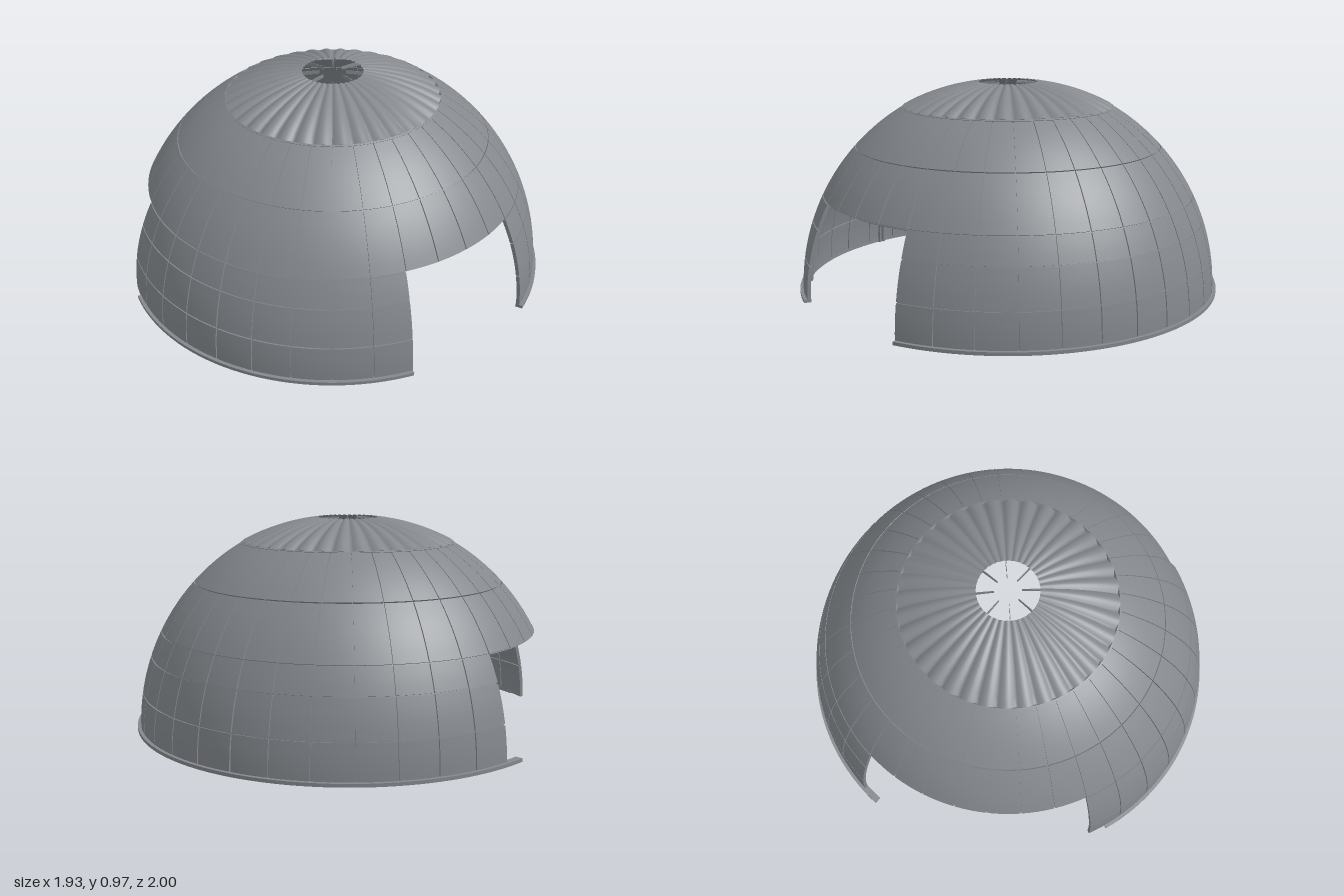
import * as THREE from 'three';
import { mergeGeometries } from 'three/addons/utils/BufferGeometryUtils.js';

const RAD = Math.PI / 180;
const OUTER = 0.985, INNER = 0.969, CORE = 0.977; // shell radii
const EAVE = 27.2, CAP = 60, HOLE = 81.8; // elevations in degrees

// Angles around the dome run from +z towards +x, in degrees.
const WALLS = [[60, 220], [290, 380]];
const FLANGES = [[60, 225], [295, 380]];

// Points of a meridian arc between two elevations
function arc(radius, from, to, steps) {
  return Array.from({ length: steps + 1 }, (_, i) => {
    const e = (from + (to - from) * i / steps) * RAD;
    return new THREE.Vector2(radius * Math.cos(e), radius * Math.sin(e));
  });
}

// Surface swept round the y axis from one angle to another
function sweep(points, a, b, stepDeg = 2.5) {
  const n = Math.max(1, Math.round((b - a) / stepDeg));
  return new THREE.LatheGeometry(points, n, a * RAD, (b - a) * RAD);
}

// Solid with hard edges: each side of a closed profile is swept, then the ends are capped
function solid(sides, a, b) {
  const parts = sides.map((side) => sweep(side, a, b));
  if (b - a < 360) {
    for (const angle of [a, b]) {
      parts.push(new THREE.ShapeGeometry(new THREE.Shape(sides.flatMap((s) => s.slice(0, -1))))
        .rotateY(angle * RAD - Math.PI / 2));
    }
  }
  return mergeGeometries(parts);
}

// Curved slab between two radii and two elevations
function slab(r0, r1, e0, e1, a, b) {
  const steps = Math.max(1, Math.ceil((e1 - e0) / 3));
  const out = arc(r1, e0, e1, steps);
  const inn = arc(r0, e1, e0, steps);
  return solid([out, [out[steps], inn[0]], inn, [inn[steps], out[0]]], a, b);
}

// A row of panels separated by narrow grooves
function panelRow(e0, e1, a, b) {
  const gap = 0.16;
  const panels = [];
  for (let p = a; p < b; p += 10) {
    panels.push(slab(INNER, OUTER, e0 + gap, e1 - gap,
      p === a && b - a < 360 ? p : p + gap,
      p + 10 === b && b - a < 360 ? b : p + 10 - gap));
  }
  return mergeGeometries(panels);
}

// Fluted cap: a spherical band whose vertices swell outwards between creases
function flutedCap() {
  const geo = sweep(arc(1, CAP, HOLE, 8), 0, 360, 1.25);
  const pos = geo.attributes.position;
  const v = new THREE.Vector3();
  for (let i = 0; i < pos.count; i++) {
    v.fromBufferAttribute(pos, i);
    const r = Math.hypot(v.x, v.z);
    const swell = Math.abs(Math.sin(18 * Math.atan2(v.x, v.z)));
    v.multiplyScalar(0.972 + 0.036 * r * swell);
    pos.setXYZ(i, v.x, v.y, v.z);
  }
  geo.computeVertexNormals();
  return geo;
}

export function createModel() {
  const metal = new THREE.MeshStandardMaterial({ color: 0x84888d, side: THREE.DoubleSide });
  metal.name = 'grey metal';

  const model = new THREE.Group();
  model.name = 'dome';
  const add = (name, geometry) => {
    const mesh = new THREE.Mesh(geometry, metal);
    mesh.name = name;
    model.add(mesh);
  };

  // Lower walls on both sides of the two openings
  WALLS.forEach(([a, b], i) => {
    add('wallCore' + (i + 1), sweep(arc(CORE, 0, EAVE, 10), a, b));
    [[0, 10], [10, 20], [20, EAVE]].forEach(([e0, e1]) =>
      add('wallPanels' + (i + 1), panelRow(e0, e1, a, b)));
  });

  // Base flange, running a little past the wall ends
  FLANGES.forEach(([a, b], i) => {
    const c = [[0.967, 0], [1, 0], [1, 0.015], [0.967, 0.015]].map((p) => new THREE.Vector2(...p));
    add('baseFlange' + (i + 1), solid(c.map((p, k) => [p, c[(k + 1) % 4]]), a, b));
  });

  // Unbroken upper dome
  add('upperCore', sweep(arc(CORE, EAVE, CAP, 12), 0, 360));
  [[EAVE, 43], [43, CAP]].forEach(([e0, e1]) => add('upperPanels', panelRow(e0, e1, 0, 360)));

  // Cap and its seating ring
  add('flutedCap', flutedCap());
  add('capRing', slab(0.966, 0.987, CAP - 0.5, CAP, 0, 360));

  // Inner stiffening rings
  add('eaveRing', slab(0.957, INNER, EAVE, EAVE + 1, 0, 360));
  add('upperRing', slab(0.957, INNER, 52, 53, 0, 360));

  // Paired inner ribs, cut short above the openings
  for (let a = 0; a < 360; a += 45) {
    const onWall = WALLS.some(([s, e]) => (a > s && a < e) || (a + 360 > s && a + 360 < e));
    for (const side of [-0.7, 0.7]) {
      add('rib', slab(0.953, INNER, onWall ? 0 : EAVE, 86.4, a + side - 0.3, a + side + 0.3));
    }
  }

  model.position.x = -0.04;
  const root = new THREE.Group();
  root.name = 'panelledDome';
  root.add(model);
  return root;
}
